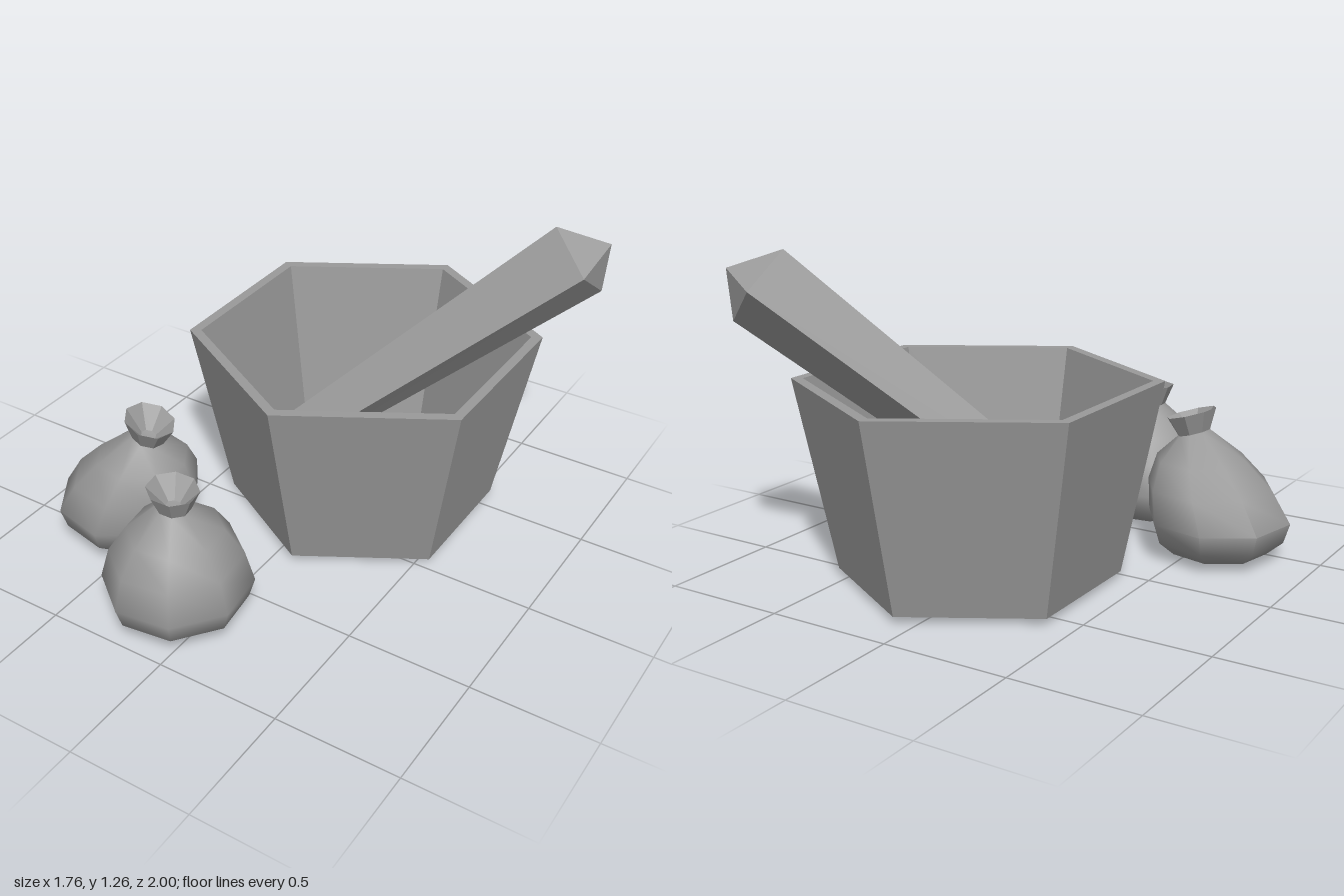
import * as THREE from 'three';
import { toCreasedNormals } from 'three/addons/utils/BufferGeometryUtils.js';

const stone = new THREE.MeshStandardMaterial({ color: 0x999999 });
stone.name = 'grey stone';

const lathe = (profile, sides, phase = 0) =>
  new THREE.LatheGeometry(profile.map(([r, y]) => new THREE.Vector2(r, y)), sides, phase);

// Hexagonal bowl: outer wall, rim, inner wall and floor in one profile
function mortar() {
  const geo = lathe([[0, 0.03], [0.545, 0.03], [0.7, 0.785], [0.655, 0.785], [0.51, 0.08], [0, 0.08]], 6);
  const mesh = new THREE.Mesh(toCreasedNormals(geo, 0.1), stone);
  mesh.name = 'mortar';
  mesh.position.set(0.08, 0, -0.3);
  return mesh;
}

// Tapered square bar with a pyramid on the handle end
function pestle() {
  const top = [[0.695, 1.27, -0.65], [0.862, 1.135, -0.555], [0.867, 1.0, -0.75], [0.7, 1.138, -0.845]];
  const foot = [[-0.36, 0.225, -0.04], [-0.27, 0.15, 0.008], [-0.267, 0.08, -0.097], [-0.357, 0.155, -0.145]];
  const apex = [0.88, 1.2, -0.76];
  const pos = [];
  for (let i = 0; i < 4; i++) {
    const j = (i + 1) % 4;
    pos.push(...top[i], ...foot[i], ...foot[j], ...top[i], ...foot[j], ...top[j]);
    pos.push(...top[i], ...top[j], ...apex);
  }
  for (const i of [0, 3, 2, 0, 2, 1]) pos.push(...foot[i]);
  const geo = new THREE.BufferGeometry();
  geo.setAttribute('position', new THREE.Float32BufferAttribute(pos, 3));
  geo.computeVertexNormals();
  const mesh = new THREE.Mesh(geo, stone);
  mesh.name = 'pestle';
  return mesh;
}

// Tied sack: rounded body and flared mouth, leaning and with a tilted rim
function sack(name, x, z, phase, lean, tilt) {
  const shape = (g) => {
    const p = g.attributes.position;
    for (let i = 0; i < p.count; i++) {
      const y = p.getY(i), px = p.getX(i);
      const t = Math.max(0, y - 0.17) / 0.33;
      p.setX(i, px + lean * Math.min(t, 1.1));
      if (y > 0.45) p.setY(i, y - px * tilt);
    }
    return g;
  };
  const group = new THREE.Group();
  group.name = name;
  const body = shape(lathe([[0, 0.005], [0.2, 0.03], [0.265, 0.085], [0.29, 0.165], [0.255, 0.29],
    [0.185, 0.395], [0.065, 0.495]], 8, phase));
  const mouth = shape(lathe([[0.065, 0.495], [0.1, 0.575], [0.03, 0.5], [0, 0.495]], 8, phase));
  for (const [part, geo, crease] of [['sackBody', body, 1.0], ['sackMouth', mouth, 0.5]]) {
    const mesh = new THREE.Mesh(toCreasedNormals(geo, crease), stone);
    mesh.name = part;
    group.add(mesh);
  }
  group.position.set(x, 0, z);
  return group;
}

export function createModel() {
  const model = new THREE.Group();
  model.name = 'mortarAndSacks';
  const rad = THREE.MathUtils.degToRad;
  model.add(
    mortar(),
    pestle(),
    sack('rearSack', -0.597, 0.41, rad(10), 0.12, 0.3),
    sack('frontSack', -0.12, 0.72, rad(30), 0, 0.1),
  );
  return model;
}
